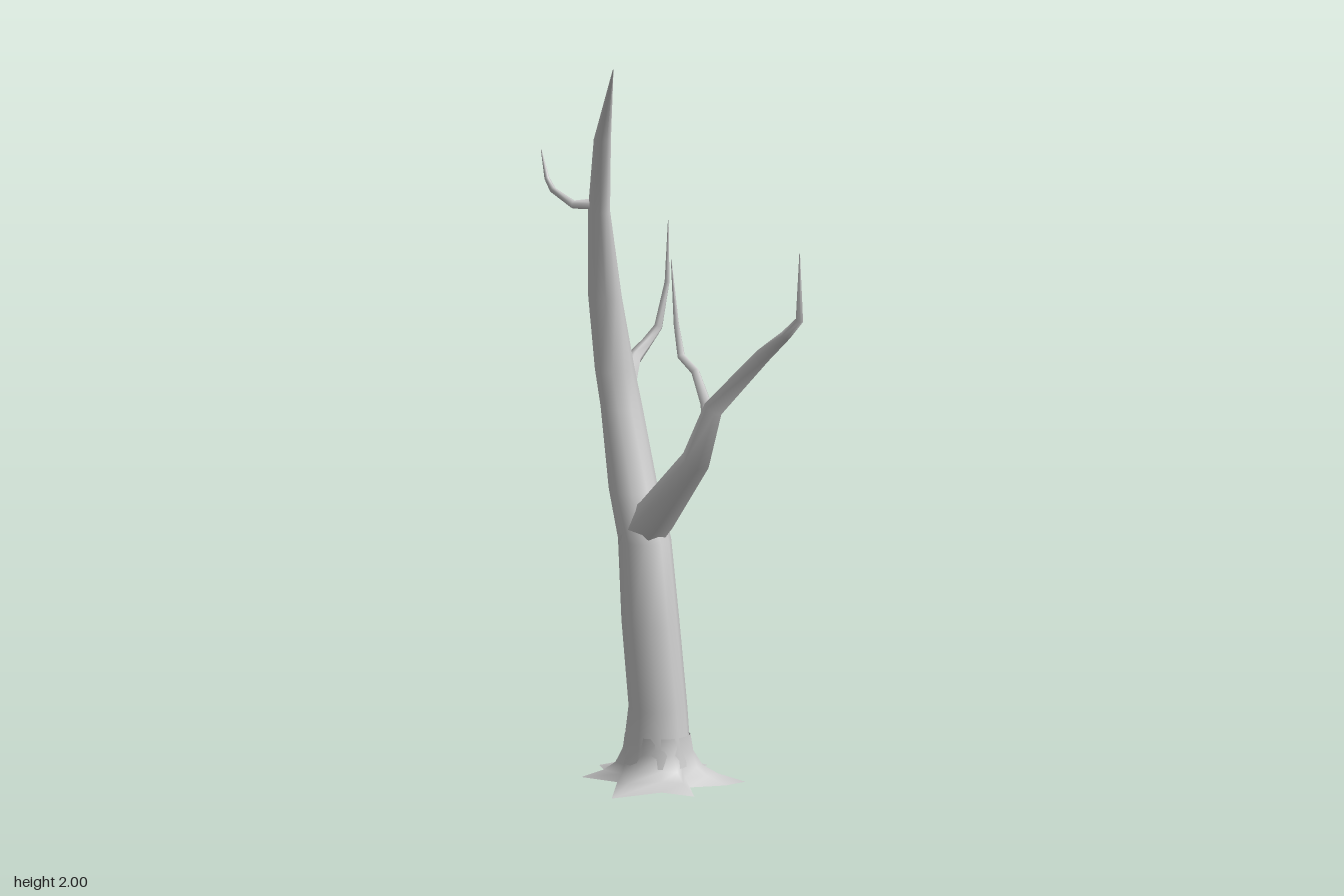
import * as THREE from 'three';

const material = new THREE.MeshStandardMaterial({ color: 0xcccccc, side: THREE.DoubleSide });

// Skin a list of rings (equal-length arrays of Vector3), closed around, smooth shaded
function loft(name, rings) {
  const n = rings[0].length, position = [], index = [];
  rings.forEach((ring) => ring.forEach((p) => position.push(p.x, p.y, p.z)));
  for (let i = 0; i < rings.length - 1; i++) {
    for (let j = 0; j < n; j++) {
      const k = (j + 1) % n;
      const a = i * n + j, b = i * n + k, c = b + n, d = a + n;
      index.push(a, b, c, a, c, d);
    }
  }
  const geometry = new THREE.BufferGeometry();
  geometry.setAttribute('position', new THREE.Float32BufferAttribute(position, 3));
  geometry.setIndex(index);
  geometry.computeVertexNormals();
  const mesh = new THREE.Mesh(geometry, material);
  mesh.name = name;
  return mesh;
}

// Angular limb through [x, y, z, radius] points, with a frame carried along the path
function limb(name, path, sides = 6) {
  const points = path.map(([x, y, z]) => new THREE.Vector3(x, y, z));
  const u = new THREE.Vector3(0.3, 0.2, 1);
  const rings = points.map((p, i) => {
    const before = p.clone().sub(points[Math.max(i - 1, 0)]).normalize();
    const after = points[Math.min(i + 1, points.length - 1)].clone().sub(p).normalize();
    const t = before.add(after).normalize();
    u.addScaledVector(t, -u.dot(t)).normalize();
    const v = t.clone().cross(u);
    return Array.from({ length: sides }, (_, j) => {
      const a = (j / sides) * Math.PI * 2, r = path[i][3];
      return p.clone().addScaledVector(u, r * Math.cos(a)).addScaledVector(v, r * Math.sin(a));
    });
  });
  return loft(name, rings);
}

// Leaning trunk from level oval rings: [y, centre x, centre z, radius x, radius z]
function trunk() {
  const sections = [
    [0.05, -0.033, -0.127, 0.1, 0.11],
    [0.1, -0.033, -0.128, 0.088, 0.098],
    [0.2, -0.033, -0.125, 0.08, 0.085],
    [0.43, -0.037, -0.155, 0.08, 0.082],
    [0.65, -0.03, -0.192, 0.073, 0.076],
    [0.78, -0.032, -0.243, 0.07, 0.066],
    [1.0, -0.035, -0.297, 0.062, 0.05],
    [1.1, -0.042, -0.317, 0.058, 0.05],
    [1.3, -0.066, -0.325, 0.045, 0.05],
    [1.55, -0.112, -0.288, 0.029, 0.034],
    [1.76, -0.14, -0.235, 0.025, 0.022],
    [2.0, -0.242, -0.04, 0.001, 0.001],
  ];
  const sides = 10;
  return loft('trunk', sections.map(([y, cx, cz, rx, rz]) =>
    Array.from({ length: sides }, (_, j) => {
      const a = (j / sides) * Math.PI * 2;
      const flute = j % 3 === 1 ? 0.93 : 1.02;
      return new THREE.Vector3(cx + rx * flute * Math.sin(a), y, cz + rz * flute * Math.cos(a));
    })));
}

// Star of roots flaring from the trunk to the ground
function roots() {
  const cx = -0.033, cz = -0.127;
  const outline = [
    [-0.08, 0.11], [-0.02, 0.005], [0.075, 0.04], [0.145, 0.03], [0.062, -0.11],
    [0.19, -0.21], [0.055, -0.25], [-0.05, -0.375], [-0.105, -0.255],
    [-0.18, -0.275], [-0.14, -0.165], [-0.275, 0], [-0.12, 0.015],
  ];
  // Height and how far each ring has spread towards the outline
  const spread = [[0.13, 0], [0.085, 0.05], [0.045, 0.22], [0.022, 0.5], [0, 1]];
  const rings = spread.map(([y, s]) => outline.map(([x, z]) => {
    const a = Math.atan2(x - cx, z - cz);
    return new THREE.Vector3(
      THREE.MathUtils.lerp(cx + 0.086 * Math.sin(a), x, s), y,
      THREE.MathUtils.lerp(cz + 0.094 * Math.cos(a), z, s));
  }));
  return loft('roots', rings.reverse());
}

export function createModel() {
  const tree = new THREE.Group();
  tree.name = 'bareTree';
  tree.add(
    trunk(),
    roots(),
    limb('frontBranch', [
      [-0.035, 0.66, -0.22, 0.065],
      [-0.035, 0.73, -0.13, 0.056],
      [-0.096, 0.935, 0.14, 0.04],
      [-0.068, 1.08, 0.18, 0.027],
      [0.018, 1.235, 0.29, 0.021],
      [-0.018, 1.325, 0.45, 0.014],
      [-0.014, 1.375, 0.507, 0.011],
      [-0.014, 1.56, 0.508, 0.001],
    ]),
    limb('frontTwig', [
      [-0.075, 1.04, 0.17, 0.02],
      [-0.07, 1.09, 0.15, 0.016],
      [-0.07, 1.17, 0.1, 0.012],
      [-0.07, 1.2, 0.035, 0.011],
      [-0.07, 1.285, 0.012, 0.008],
      [-0.07, 1.46, -0.012, 0.001],
    ]),
    limb('leftBranch', [
      [-0.03, 1.045, -0.31, 0.045],
      [0.025, 1.052, -0.36, 0.034],
      [0.14, 1.08, -0.482, 0.021],
      [0.2, 1.11, -0.508, 0.015],
      [0.24, 1.15, -0.509, 0.012],
      [0.27, 1.27, -0.51, 0.007],
      [0.274, 1.44, -0.51, 0.001],
    ]),
    limb('backTwig', [
      [-0.11, 1.57, -0.29, 0.018],
      [-0.162, 1.566, -0.338, 0.012],
      [-0.168, 1.592, -0.425, 0.009],
      [-0.17, 1.62, -0.45, 0.007],
      [-0.172, 1.695, -0.474, 0.001],
    ]),
  );
  return tree;
}
